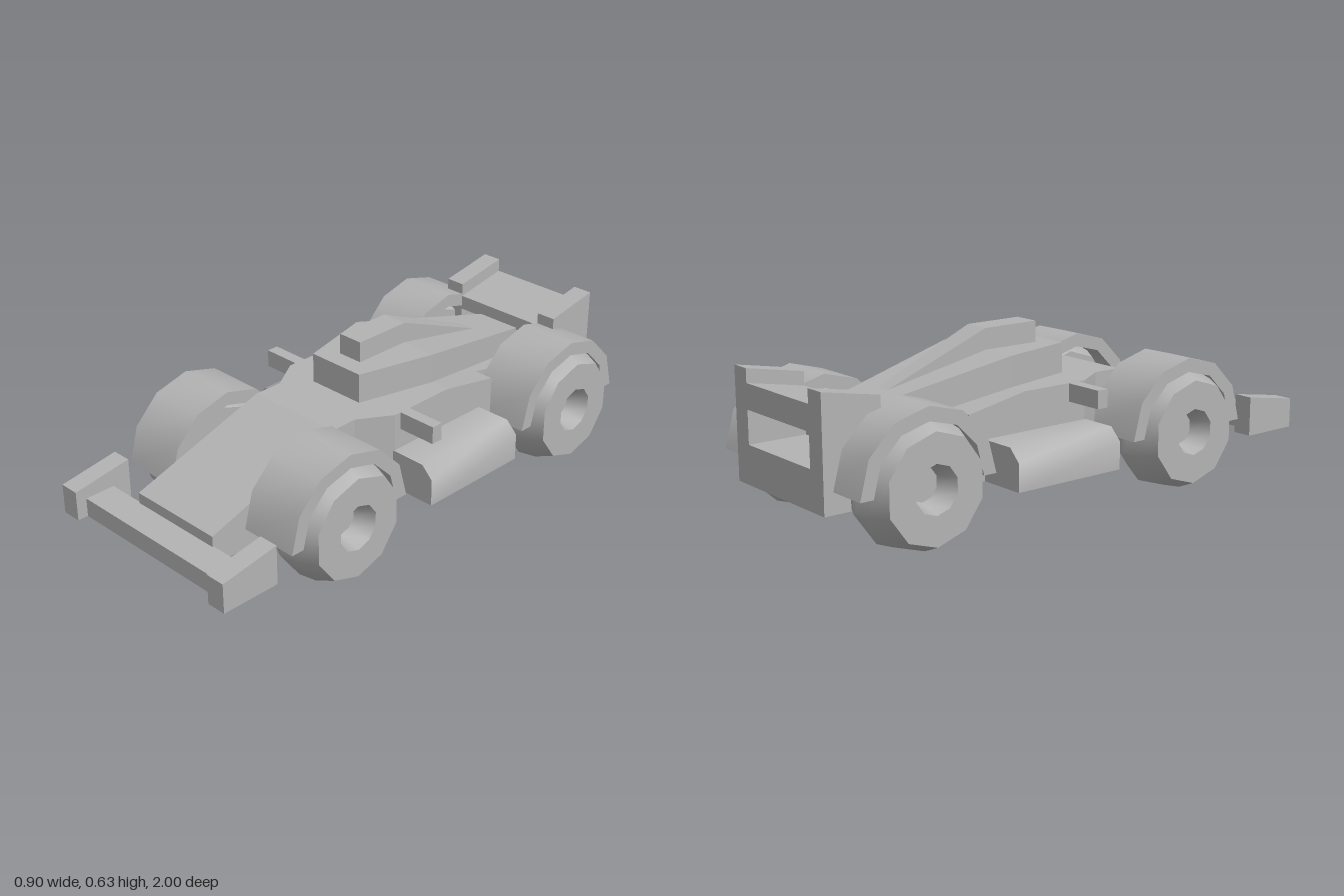
import * as THREE from 'three';
import { toCreasedNormals } from 'three/addons/utils/BufferGeometryUtils.js';

// Joins rectangular sections [z, halfWidth, bottom, top], listed from front to back.
function loft(sections, cx = 0) {
  const rings = sections.map(([z, w, b, t]) =>
    [[cx - w, b, z], [cx + w, b, z], [cx + w, t, z], [cx - w, t, z]]);
  const pos = [];
  const quad = (a, b, c, d) => [a, b, c, a, c, d].forEach(p => pos.push(...p));
  quad(...rings[0]);
  for (let k = 0; k < rings.length - 1; k++) {
    const A = rings[k], B = rings[k + 1];
    for (let i = 0; i < 4; i++) {
      const j = (i + 1) % 4;
      quad(A[i], B[i], B[j], A[j]);
    }
  }
  quad(...rings[rings.length - 1].slice().reverse());
  const geo = new THREE.BufferGeometry();
  geo.setAttribute('position', new THREE.Float32BufferAttribute(pos, 3));
  geo.computeVertexNormals();
  return geo;
}

// Tyre with a rounded tread and a recessed hub, axis along x
function wheelGeometry() {
  const profile = [[0, 0.225], [0.19, 0.225], [0.23, 0.305], [0.22, 0.38], [0.19, 0.45],
    [0.085, 0.45], [0.06, 0.37], [0, 0.37]].map(([r, y]) => new THREE.Vector2(r, y));
  const geo = new THREE.LatheGeometry(profile, 10, Math.PI / 2);
  geo.rotateZ(-Math.PI / 2);
  return toCreasedNormals(geo, 0.7);
}

// Half-ring arch over a wheel, extruded across the car
function fenderGeometry() {
  const shape = new THREE.Shape();
  const n = 6, at = (r, i) => [r * Math.cos(i * Math.PI / n), r * Math.sin(i * Math.PI / n)];
  shape.moveTo(...at(0.265, 0));
  for (let i = 1; i <= n; i++) shape.lineTo(...at(0.265, i));
  for (let i = n; i >= 0; i--) shape.lineTo(...at(0.215, i));
  const geo = new THREE.ExtrudeGeometry(shape, { depth: 0.225, bevelEnabled: false });
  geo.translate(0, 0, -0.1125).rotateY(Math.PI / 2);
  return toCreasedNormals(geo, 0.7);
}

// Side pod with a chamfered outer edge
function podGeometry(s) {
  const shape = new THREE.Shape([[0.25, 0.155], [0.445, 0.155], [0.445, 0.255], [0.4, 0.3], [0.25, 0.3]]
    .map(([x, y]) => new THREE.Vector2(s * x, y)));
  const geo = new THREE.ExtrudeGeometry(shape, { depth: 0.45, bevelEnabled: false });
  geo.translate(0, 0, -0.365);
  return toCreasedNormals(geo, 0.9);
}

export function createModel() {
  const group = new THREE.Group();
  const grey = new THREE.MeshStandardMaterial({ color: 0xb3b3b3 });
  grey.name = 'plainGrey';
  const add = (name, geo, x = 0, y = 0, z = 0) => {
    const mesh = new THREE.Mesh(geo, grey);
    mesh.name = name;
    mesh.position.set(x, y, z);
    group.add(mesh);
    return mesh;
  };

  // Body, cockpit and air intake
  const floor = 0.155;
  add('hull', loft([
    [0.85, 0.19, floor, 0.265], [0.31, 0.19, floor, 0.44], [0.2, 0.19, floor, 0.44],
    [0.08, 0.265, floor, 0.44], [-0.19, 0.265, floor, 0.44], [-0.43, 0.265, floor, 0.395],
    [-0.43, 0.19, floor, 0.395], [-0.78, 0.19, floor, 0.33]]));
  add('cockpit', loft([[0.105, 0.115, 0.4, 0.55], [-0.19, 0.19, 0.4, 0.55], [-0.78, 0.09, 0.3, 0.42]]));
  add('airIntake', loft([[0.035, 0.05, 0.5, 0.627], [-0.19, 0.05, 0.5, 0.627], [-0.6, 0.03, 0.42, 0.458]]));

  // Wing bars and rear panel
  add('frontWingBar', loft([[0.96, 0.345, floor, 0.225], [0.845, 0.345, floor, 0.225]]));
  add('rearWingBar', loft([[-0.78, 0.195, 0.41, 0.465], [-1, 0.195, 0.415, 0.505]]));
  add('rearPanel', loft([[-0.77, 0.195, floor, 0.295], [-1, 0.195, floor, 0.295]]));

  const wheel = wheelGeometry(), fender = fenderGeometry();
  for (const s of [1, -1]) {
    const side = s > 0 ? 'left' : 'right';
    // Wing end plates
    add(side + 'FrontEndPlate', loft([[1, 0.0375, floor, 0.265], [0.775, 0.0375, floor, 0.302]], s * 0.3775));
    add(side + 'RearEndPlate', loft([[-0.78, 0.0375, floor, 0.515], [-1, 0.0375, floor, 0.555]], s * 0.2275));
    // Pods and mirrors
    add(side + 'SidePod', podGeometry(s));
    add(side + 'MirrorArm', new THREE.BoxGeometry(0.2, 0.065, 0.045), s * 0.315, 0.407, 0.03);
    // Wheels under their fenders
    for (const [end, z] of [['Front', 0.445], ['Rear', -0.7]]) {
      add(side + end + 'Wheel', wheel, 0, 0.23, z).rotation.y = s > 0 ? 0 : Math.PI;
      add(side + end + 'Fender', fender, s * 0.3025, 0.23, z);
    }
  }
  return group;
}
